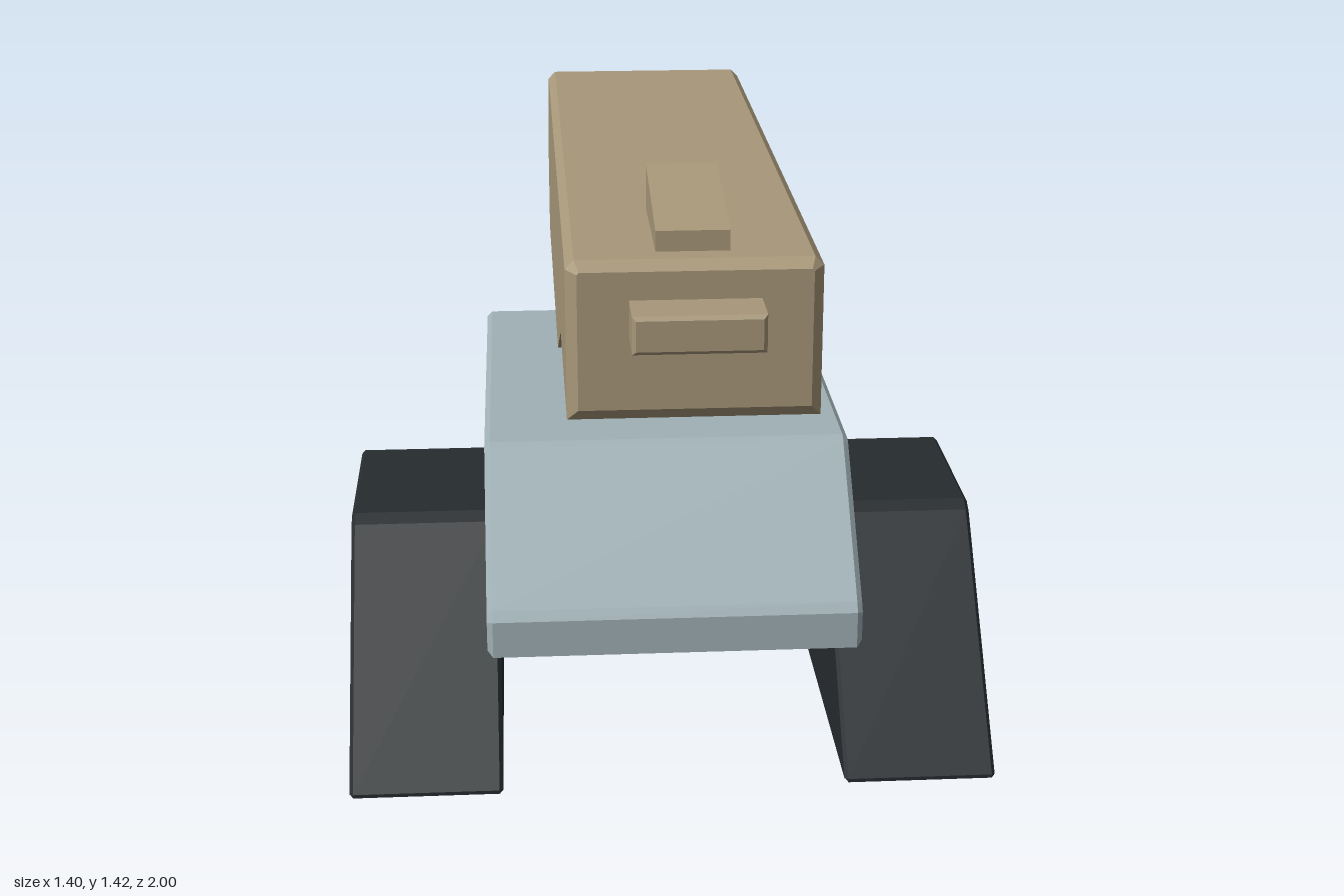
import * as THREE from 'three';

const tan = new THREE.MeshStandardMaterial({ color: 0xa8987a });
const blueGrey = new THREE.MeshStandardMaterial({ color: 0x9fb0b5 });
const dark = new THREE.MeshStandardMaterial({ color: 0x262b2e });

function part(name, geometry, material, parent) {
  const mesh = new THREE.Mesh(geometry, material);
  mesh.name = name;
  parent.add(mesh);
  return mesh;
}

// Extrudes a side profile of [z, y] points across x, centred, with chamfered rims.
function sideExtrude(profile, width, bevel) {
  const shape = new THREE.Shape(profile.map(([z, y]) => new THREE.Vector2(-z, y)));
  const geometry = new THREE.ExtrudeGeometry(shape, {
    depth: width - 2 * bevel,
    bevelEnabled: bevel > 0,
    bevelThickness: bevel,
    bevelSize: bevel,
    bevelOffset: -bevel,
    bevelSegments: 1,
  });
  geometry.translate(0, 0, bevel - width / 2);
  return geometry.rotateY(Math.PI / 2);
}

// Lofts box sections with chamfered top corners, listed from front to back.
function loftSections(stations) {
  const rings = stations.map(([z, w, bottom, top, c]) => [
    [-w, bottom, z], [w, bottom, z], [w, top - c, z],
    [w - c, top, z], [c - w, top, z], [-w, top - c, z],
  ]);
  const positions = [];
  const tri = (a, b, c) => positions.push(...a, ...b, ...c);
  for (let i = 0; i < rings.length - 1; i++) {
    const f = rings[i], b = rings[i + 1];
    for (let k = 0; k < 6; k++) {
      const n = (k + 1) % 6;
      tri(f[k], b[k], b[n]);
      tri(f[k], b[n], f[n]);
    }
  }
  const first = rings[0], last = rings[rings.length - 1];
  for (let k = 1; k < 5; k++) {
    tri(first[0], first[k], first[k + 1]);
    tri(last[0], last[k + 1], last[k]);
  }
  const geometry = new THREE.BufferGeometry();
  geometry.setAttribute('position', new THREE.Float32BufferAttribute(positions, 3));
  geometry.computeVertexNormals();
  return geometry;
}

export function createModel() {
  const model = new THREE.Group();
  model.name = 'turret';

  // Trapezoid feet on both sides
  const footProfile = [
    [0.41, 0], [0.41, 0.008], [0, 0.462], [-0.03, 0.478],
    [-0.42, 0.478], [-0.45, 0.462], [-0.835, 0.008], [-0.835, 0],
  ];
  for (const side of [1, -1]) {
    const foot = part(side > 0 ? 'leftFoot' : 'rightFoot',
      sideExtrude(footProfile, 0.33, 0.008), dark, model);
    foot.position.x = side * 0.535;
  }

  // Wedge-fronted base body
  part('body', sideExtrude([
    [0.43, 0.335], [0.43, 0.415], [0.415, 0.435], [0.15, 0.698], [0.135, 0.705],
    [-0.79, 0.705], [-0.81, 0.697], [-0.855, 0.652], [-0.865, 0.635],
    [-0.865, 0.405], [-0.855, 0.39], [-0.81, 0.343], [-0.79, 0.335],
  ], 0.79, 0.012), blueGrey, model);

  // Neck between body and head
  part('neck', new THREE.BoxGeometry(0.34, 0.2, 0.345), dark, model)
    .position.set(0, 0.785, -0.3775);

  // Head: z, half width, bottom, top, chamfer
  const head = new THREE.Group();
  head.name = 'head';
  model.add(head);
  part('headShell', loftSections([
    [0.9, 0.21, 1.055, 1.312, 0.004],
    [0.875, 0.23, 1.03, 1.328, 0.016],
    [0.37, 0.23, 1.03, 1.328, 0.016],
    [-0.01, 0.23, 0.868, 1.328, 0.016],
    [-0.74, 0.23, 0.868, 1.328, 0.016],
    [-0.775, 0.23, 0.868, 1.312, 0.012],
    [-1, 0.23, 0.868, 1.085, 0.001],
  ]), tan, head);

  // Flat muzzle with a chamfered front rim
  const slot = new THREE.Shape([
    [-0.118, -0.035], [0.118, -0.035], [0.118, 0.035], [-0.118, 0.035],
  ].map(([x, y]) => new THREE.Vector2(x, y)));
  part('muzzle', new THREE.ExtrudeGeometry(slot, {
    depth: 0.13, bevelThickness: 0.007, bevelSize: 0.007, bevelOffset: -0.007, bevelSegments: 1,
  }), tan, head).position.set(0, 1.225, 0.863);

  // Sloped sight on top
  part('sight', sideExtrude([
    [0.83, 1.32], [0.83, 1.366], [0.54, 1.416], [0.54, 1.32],
  ], 0.134, 0), tan, head);

  return model;
}
